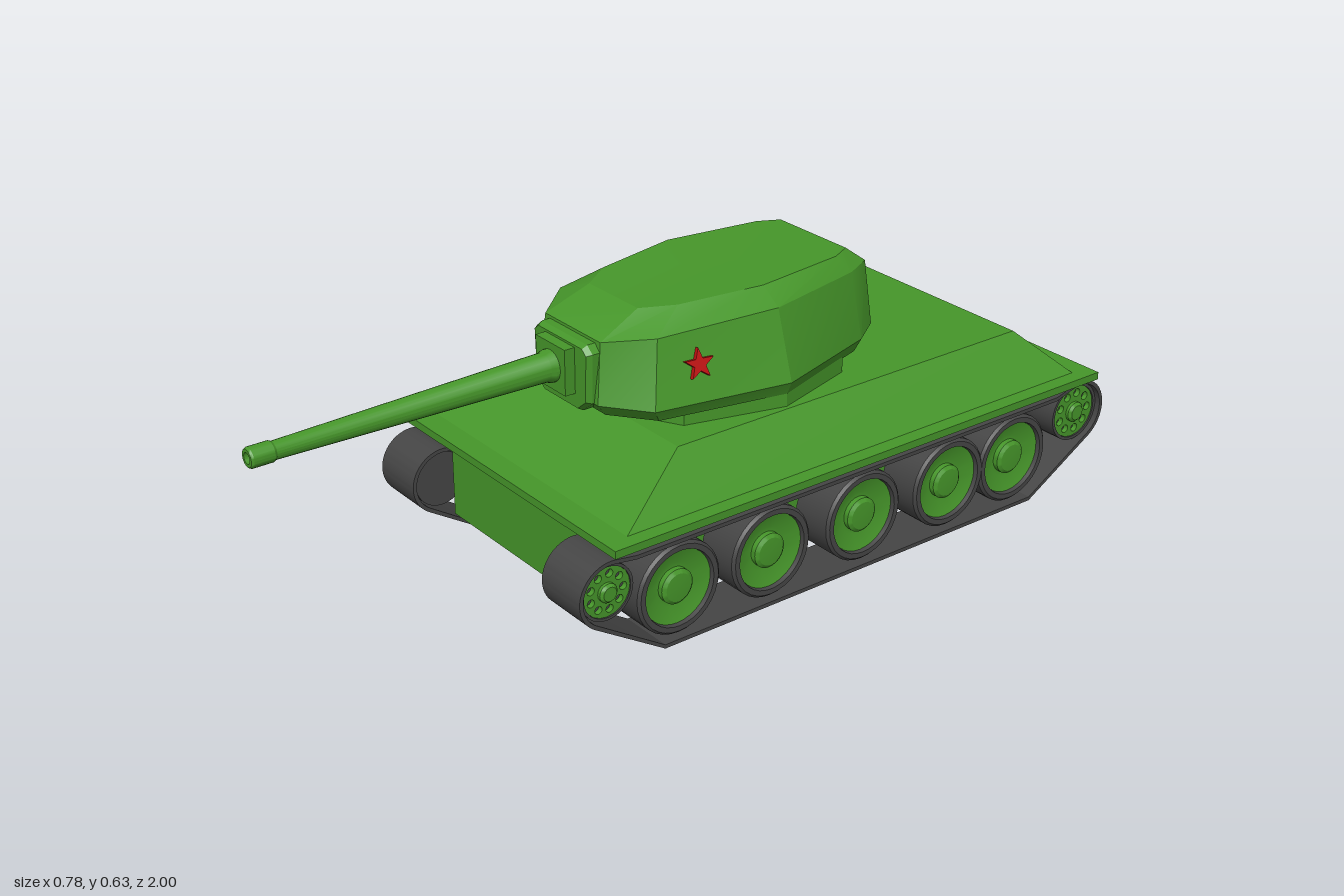
import * as THREE from 'three';
import { toCreasedNormals } from 'three/addons/utils/BufferGeometryUtils.js';

const green = new THREE.MeshStandardMaterial({ color: 0x46962a });
const dark = new THREE.MeshStandardMaterial({ color: 0x454545 });
const red = new THREE.MeshStandardMaterial({ color: 0xc01010 });

function add(parent, name, geometry, material, x = 0, y = 0, z = 0) {
  const mesh = new THREE.Mesh(geometry, material);
  mesh.name = name;
  mesh.position.set(x, y, z);
  parent.add(mesh);
  return mesh;
}

// Mirror a half outline [halfWidth, z, y], listed front to rear, into a full ring
function ring(half, y) {
  const left = half.map(([x, z, h]) => new THREE.Vector3(x, h ?? y, z));
  const right = left.map((p) => new THREE.Vector3(-p.x, p.y, p.z)).reverse();
  return [...left, ...right];
}

// Skin a stack of rings, bottom to top, and close both ends
function loft(rings, crease) {
  const pos = [];
  const tri = (...pts) => pts.forEach((p) => pos.push(p.x, p.y, p.z));
  const centre = (r) => r.reduce((s, p) => s.add(p), new THREE.Vector3()).divideScalar(r.length);
  const n = rings[0].length;
  const low = rings[0], high = rings[rings.length - 1];
  const lowMid = centre(low), highMid = centre(high);
  for (let i = 0; i < n; i++) {
    const j = (i + 1) % n;
    for (let k = 0; k + 1 < rings.length; k++) {
      tri(rings[k][i], rings[k][j], rings[k + 1][j]);
      tri(rings[k][i], rings[k + 1][j], rings[k + 1][i]);
    }
    tri(lowMid, low[j], low[i]);
    tri(highMid, high[i], high[j]);
  }
  const g = new THREE.BufferGeometry();
  g.setAttribute('position', new THREE.Float32BufferAttribute(pos, 3));
  return toCreasedNormals(g, crease);
}

// Turned part whose axis points outwards along x
function turned(profile, side, segments = 32) {
  const g = new THREE.LatheGeometry(profile.map(([r, h]) => new THREE.Vector2(r, h)), segments);
  g.rotateZ(-side * Math.PI / 2);
  return toCreasedNormals(g, 0.5);
}

// Track outline in (z, y), inset by t
function trackPath(path, t) {
  const deg = Math.PI / 180;
  path.moveTo(-0.77, t);
  path.lineTo(0.29, t);
  path.absarc(0.425, 0.175, 0.077 - t, -57 * deg, 100 * deg, false);
  path.lineTo(0.36, 0.243 - t);
  path.lineTo(-0.84, 0.243 - t);
  path.absarc(-0.915, 0.181, 0.081 - t, 75 * deg, 239 * deg, false);
  path.closePath();
  return path;
}

function addTrack(parent, side) {
  const shape = trackPath(new THREE.Shape(), 0);
  shape.holes.push(trackPath(new THREE.Path(), 0.009));
  const g = new THREE.ExtrudeGeometry(shape, { depth: 0.13, bevelEnabled: false, curveSegments: 16 });
  g.rotateY(-Math.PI / 2).translate(0.065, 0, 0);
  add(parent, 'track', toCreasedNormals(g, 0.5), dark, side * 0.31, 0, 0);
}

function addRoadWheel(parent, side, z) {
  const wheel = new THREE.Group();
  wheel.name = 'roadWheel';
  wheel.position.set(side * 0.31, 0.122, z);
  add(wheel, 'tyre', turned([[0, -0.055], [0.095, -0.055], [0.106, -0.048], [0.106, 0.05],
    [0.1, 0.056], [0.088, 0.056], [0.084, 0.03], [0, 0.03]], side), dark);
  add(wheel, 'wheelDisc', turned([[0.086, 0.046], [0.05, 0.034], [0.04, 0.034],
    [0.04, 0.046], [0.032, 0.052], [0, 0.054]], side), green);
  parent.add(wheel);
}

// End wheel: pierced disc over a dark drum
function addEndWheel(parent, name, side, y, z, r) {
  const wheel = new THREE.Group();
  wheel.name = name;
  wheel.position.set(side * 0.31, y, z);
  add(wheel, 'drum', turned([[0, -0.055], [r, -0.055], [r, 0.052], [r * 0.9, 0.052],
    [r * 0.9, 0.036], [0, 0.036]], side), dark);
  const disc = new THREE.Shape().absarc(0, 0, r * 0.9, 0, Math.PI * 2);
  for (let i = 0; i < 9; i++) {
    const a = i * Math.PI * 2 / 9;
    disc.holes.push(new THREE.Path().absarc(Math.cos(a) * r * 0.64, Math.sin(a) * r * 0.64,
      r * 0.14, 0, Math.PI * 2, true));
  }
  const g = new THREE.ExtrudeGeometry(disc, { depth: 0.012, bevelEnabled: false, curveSegments: 10 });
  g.rotateY(side * Math.PI / 2).translate(side * 0.037, 0, 0);
  add(wheel, 'piercedDisc', g, green);
  add(wheel, 'hub', turned([[r * 0.34, 0.045], [r * 0.34, 0.056], [r * 0.25, 0.062], [0, 0.062]], side, 20), green);
  parent.add(wheel);
}

function starGeometry(r) {
  const pts = [];
  for (let i = 0; i < 10; i++) {
    const a = Math.PI / 2 + i * Math.PI / 5, d = i % 2 ? r * 0.4 : r;
    pts.push(new THREE.Vector2(Math.cos(a) * d, Math.sin(a) * d));
  }
  return new THREE.ExtrudeGeometry(new THREE.Shape(pts), { depth: 0.014, bevelEnabled: false })
    .translate(0, 0, -0.007);
}

export function createModel() {
  const model = new THREE.Group();
  model.name = 'tank';

  // Hull: lower tub, fender plate and sloped upper body
  const hull = new THREE.Group();
  hull.name = 'hull';
  model.add(hull);
  add(hull, 'lowerHull', new THREE.BoxGeometry(0.488, 0.18, 1.25), green, 0, 0.175, -0.225);
  add(hull, 'fenderPlate', new THREE.BoxGeometry(0.78, 0.018, 1.38), green, 0, 0.271, -0.265);
  add(hull, 'upperHull', loft([
    ring([[0.355, 0.37], [0.355, -0.905]], 0.28),
    ring([[0.26, 0.17], [0.26, -0.8]], 0.38),
  ], 0.1), green);

  // Running gear on both sides
  for (const side of [1, -1]) {
    const gear = new THREE.Group();
    gear.name = side > 0 ? 'leftRunningGear' : 'rightRunningGear';
    model.add(gear);
    addTrack(gear, side);
    for (const z of [0.245, 0, -0.26, -0.515, -0.715]) addRoadWheel(gear, side, z);
    addEndWheel(gear, 'frontIdler', side, 0.175, 0.425, 0.064);
    addEndWheel(gear, 'rearSprocket', side, 0.181, -0.915, 0.071);
  }

  // Turret on its ring
  const turret = new THREE.Group();
  turret.name = 'turret';
  model.add(turret);
  const base = [[0.1, 0.15], [0.19, 0.1], [0.25, -0.13], [0.19, -0.34], [0.12, -0.4]];
  add(turret, 'turretRing', loft([ring(base, 0.375), ring(base, 0.42)], 0.3), green);
  add(turret, 'turretShell', loft([
    ring([[0.1, 0.235], [0.19, 0.165], [0.25, -0.13], [0.172, -0.39], [0.12, -0.45]], 0.41),
    ring([[0.108, 0.26], [0.205, 0.185], [0.264, -0.13], [0.183, -0.4], [0.13, -0.477]], 0.44),
    ring([[0.098, 0.245, 0.575], [0.172, 0.155, 0.585], [0.215, -0.13], [0.16, -0.385], [0.125, -0.455]], 0.595),
    ring([[0.085, 0.14, 0.62], [0.13, 0.07, 0.625], [0.165, -0.13], [0.135, -0.36], [0.11, -0.41]], 0.63),
  ], 0.3), green);

  // Gun mantlet, collar and barrel
  const mantlet = new THREE.Shape([[-0.06, 0.422], [0.06, 0.422], [0.088, 0.445], [0.092, 0.55],
    [0.078, 0.562], [-0.078, 0.562], [-0.092, 0.55], [-0.088, 0.445]].map((p) => new THREE.Vector2(...p)));
  add(turret, 'mantlet', new THREE.ExtrudeGeometry(mantlet,
    { depth: 0.1, bevelThickness: 0.012, bevelSize: 0.007, bevelSegments: 1 }), green, 0, 0, 0.165);
  add(turret, 'gunCollar', new THREE.BoxGeometry(0.104, 0.104, 0.08), green, 0, 0.505, 0.262);
  const barrel = [[0.036, 0.25], [0.036, 0.31], [0.032, 0.32], [0.019, 0.945], [0.022, 0.95],
    [0.022, 0.995], [0.019, 1], [0.012, 1], [0.012, 0.95], [0, 0.95]];
  const barrelGeometry = new THREE.LatheGeometry(barrel.map((p) => new THREE.Vector2(...p)), 24);
  add(turret, 'gunBarrel', toCreasedNormals(barrelGeometry.rotateX(Math.PI / 2), 0.5), green, 0, 0.505, 0);

  // Red stars lying on the turret cheeks
  for (const side of [1, -1]) {
    const star = add(turret, 'starMarking', starGeometry(0.035), red, side * 0.207, 0.52, 0.075);
    star.lookAt(side * 1.207, 0.82, 0.24);
  }
  return model;
}
